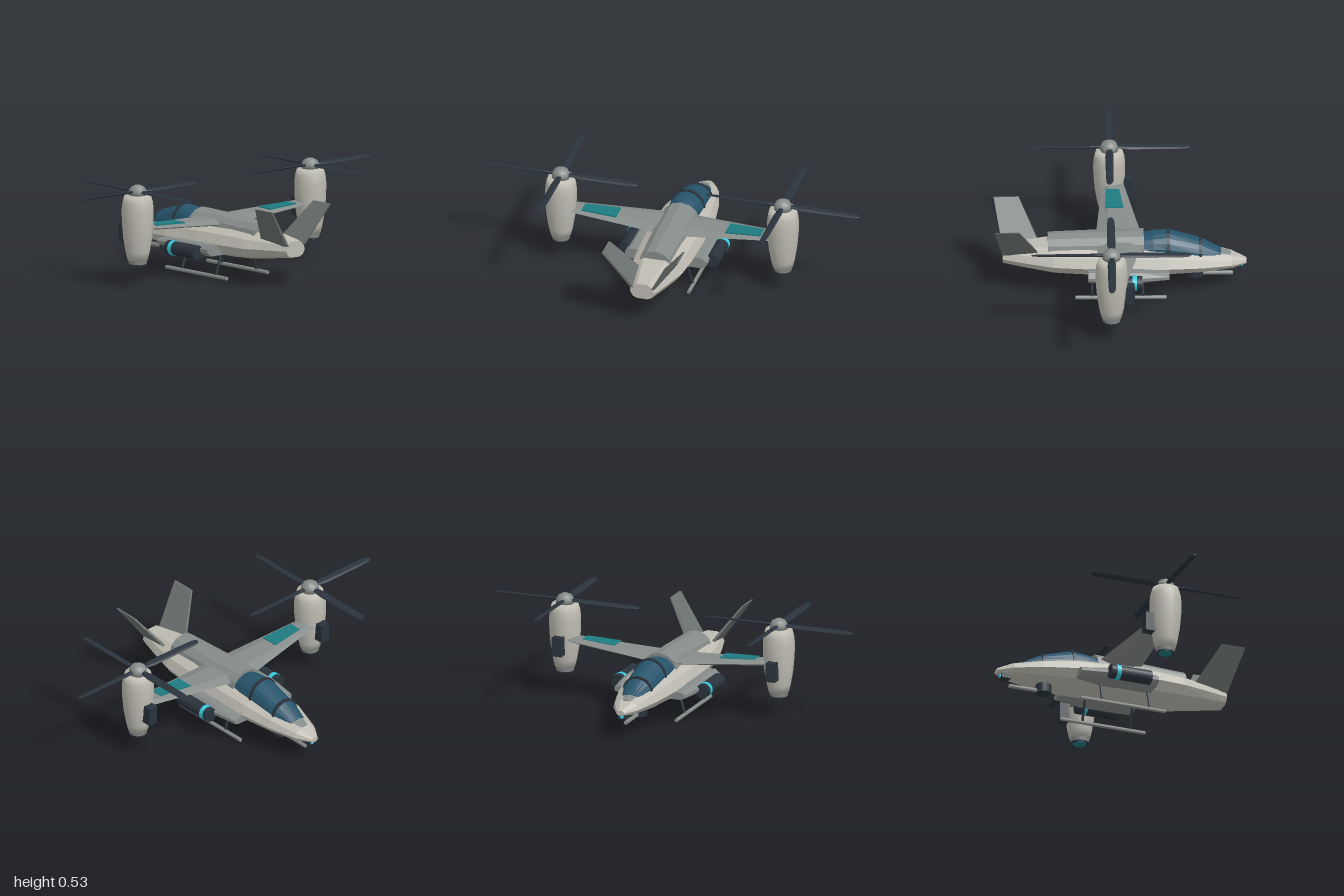
import * as THREE from 'three';

const mat = (name, color) => {
  const m = new THREE.MeshStandardMaterial({ color });
  m.name = name;
  return m;
};

// Faceted solid through a list of rings (arrays of [x, y, z]), closed at both ends
function loft(rings) {
  const pos = [];
  const tri = (a, b, c) => pos.push(...a, ...b, ...c);
  const n = rings[0].length;
  for (let k = 0; k < rings.length - 1; k++) {
    const a = rings[k], b = rings[k + 1];
    for (let i = 0; i < n; i++) {
      const j = (i + 1) % n;
      tri(a[i], a[j], b[j]);
      tri(a[i], b[j], b[i]);
    }
  }
  const first = rings[0], last = rings[rings.length - 1];
  for (let i = 1; i < n - 1; i++) {
    tri(first[0], first[i + 1], first[i]);
    tri(last[0], last[i], last[i + 1]);
  }
  const g = new THREE.BufferGeometry();
  g.setAttribute('position', new THREE.Float32BufferAttribute(pos, 3));
  g.computeVertexNormals();
  return g;
}

// Mirrored copy of a loft across x = 0, with the corner order restored
function mirrorX(geo) {
  const p = geo.attributes.position.array, out = [];
  for (let i = 0; i < p.length; i += 9) {
    for (const k of [0, 6, 3]) out.push(-p[i + k], p[i + k + 1], p[i + k + 2]);
  }
  const g = new THREE.BufferGeometry();
  g.setAttribute('position', new THREE.Float32BufferAttribute(out, 3));
  g.computeVertexNormals();
  return g;
}

// Half-round cross-sections: [z, half width, base y, top y]
const arch = (sections, steps) => loft(sections.map(([z, w, y0, y1]) =>
  Array.from({ length: steps + 1 }, (_, i) => {
    const a = (i / steps) * Math.PI;
    return [w * Math.cos(a), y0 + (y1 - y0) * Math.sin(a), z];
  })));

function rod(a, b, r, sides = 8) {
  const A = new THREE.Vector3(...a), B = new THREE.Vector3(...b);
  const d = B.clone().sub(A);
  const g = new THREE.CylinderGeometry(r, r, d.length(), sides);
  g.applyQuaternion(new THREE.Quaternion().setFromUnitVectors(new THREE.Vector3(0, 1, 0), d.normalize()));
  return g.translate((a[0] + b[0]) / 2, (a[1] + b[1]) / 2, (a[2] + b[2]) / 2);
}

export function createModel() {
  const root = new THREE.Group();
  root.name = 'tiltrotor';
  const hull = mat('hull pale grey', 0xbebcb2);
  const grey = mat('panel grey', 0x868c8a);
  const fin = mat('fin grey', 0x6c7270);
  const dark = mat('dark slate', 0x2a333c);
  const glass = mat('canopy blue', 0x26536a);
  const cyan = mat('glow cyan', 0x38cbe0);
  const teal = mat('panel teal', 0x1d7b80);
  const add = (name, geo, m, parent = root) => {
    const mesh = new THREE.Mesh(geo, m);
    mesh.name = name;
    parent.add(mesh);
    return mesh;
  };
  const pair = (name, geo, m) => {
    add(name + 'Left', geo, m);
    add(name + 'Right', mirrorX(geo), m);
  };

  // Fuselage: ten-sided sections [z, half width, bottom, top]
  const half = [[0.45, 1], [0.85, 0.5], [1, -0.15], [0.78, -0.75], [0.45, -1]];
  const profile = [...half].reverse().concat(half.map(([x, y]) => [-x, y]));
  const body = [
    [-0.645, 0.022, 0.135, 0.16], [-0.57, 0.07, 0.122, 0.19], [-0.42, 0.115, 0.113, 0.225],
    [-0.25, 0.145, 0.11, 0.252], [0, 0.155, 0.11, 0.268], [0.2, 0.15, 0.113, 0.268],
    [0.34, 0.138, 0.12, 0.262], [0.48, 0.1, 0.138, 0.25], [0.6, 0.064, 0.155, 0.238],
  ];
  add('fuselage', loft(body.map(([z, w, y0, y1]) => profile.map(([x, y]) =>
    [x * w, (y0 + y1) / 2 + (y * (y1 - y0)) / 2, z]))), hull);

  // Raised spine, canopy sill, canopy and its frames
  add('spine', arch([[-0.12, 0.095, 0.24, 0.322], [0.1, 0.095, 0.24, 0.315], [0.37, 0.085, 0.235, 0.305]], 6), grey);
  add('canopySill', arch([[-0.565, 0.045, 0.15, 0.197], [-0.48, 0.082, 0.165, 0.222],
    [-0.25, 0.104, 0.19, 0.272], [-0.08, 0.108, 0.2, 0.285]], 6), grey);
  const canopy = [[-0.515, 0.045, 0.195, 0.212], [-0.41, 0.078, 0.2, 0.272],
    [-0.245, 0.089, 0.22, 0.322], [-0.17, 0.09, 0.225, 0.315], [-0.07, 0.085, 0.23, 0.292]];
  add('canopy', arch(canopy, 10), glass);
  for (const [z, w, y0, y1] of [canopy[1], canopy[2]]) {
    add('canopyFrame', arch([[z - 0.008, w + 0.004, y0, y1 + 0.006], [z + 0.008, w + 0.004, y0, y1 + 0.006]], 10), dark);
  }

  // Wings with teal upper panels: [x, leading z, trailing z, y, thickness]
  const foil = [[0.25, 0.5], [0.75, 0.45], [1, 0], [0.75, -0.35], [0.25, -0.5], [0, 0]];
  const wing = [[0.05, -0.11, 0.125, 0.268, 0.042], [0.57, -0.02, 0.085, 0.298, 0.026]];
  pair('wing', loft(wing.map(([x, a, b, y, t]) => foil.map(([f, h]) => [x, y + h * t, a + f * (b - a)]))), grey);
  pair('wingPanel', loft([[0.29, -0.02, 0.075, 0.302], [0.475, 0, 0.068, 0.309]].map(([x, a, b, y]) =>
    [[x, y, a], [x, y, b], [x, y - 0.007, b], [x, y - 0.007, a]])), teal);

  // V-tail: upright slabs swept back
  const slab = (x, y, a, b, t) => [[x - t, y, a], [x - t, y, b], [x + t, y, b], [x + t, y, a]];
  pair('tailFin', loft([slab(0.055, 0.215, 0.41, 0.602, 0.009), slab(0.198, 0.415, 0.517, 0.645, 0.005)]), fin);

  // Side sponsons
  const spons = (z, x, y0, y1) => [[0.08, y0], [x - 0.025, y0], [x, (y0 + y1) / 2 - 0.008],
    [x, (y0 + y1) / 2 + 0.008], [x - 0.025, y1], [0.08, y1]].map(([a, b]) => [a, b, z]);
  pair('sponson', loft([spons(-0.25, 0.195, 0.127, 0.165), spons(-0.1, 0.217, 0.118, 0.178), spons(0.165, 0.217, 0.122, 0.18)]), grey);

  for (const s of [1, -1]) {
    const side = s > 0 ? 'Left' : 'Right';

    // Underwing pods with a glowing band
    add('pod' + side, rod([s * 0.232, 0.14, -0.112], [s * 0.232, 0.14, 0.11], 0.037, 14), dark);
    add('podBand' + side, rod([s * 0.232, 0.14, -0.083], [s * 0.232, 0.14, -0.06], 0.039, 14), cyan);

    // Landing skids
    add('skid' + side, rod([s * 0.14, 0.01, -0.235], [s * 0.14, 0.01, 0.23], 0.01), grey);
    for (const z of [-0.115, 0.145]) {
      add('skidStrut' + side, rod([s * 0.105, 0.125, z], [s * 0.139, 0.012, z], 0.007), dark);
    }

    // Engine nacelle
    const nacelle = new THREE.Group();
    nacelle.name = 'nacelle' + side;
    nacelle.position.set(s * 0.59, 0, 0.05);
    root.add(nacelle);
    const turned = (pts) => new THREE.LatheGeometry(pts.map(([r, y]) => new THREE.Vector2(r, y)), 16);
    add('nacelleShell', turned([[0, 0.138], [0.052, 0.138], [0.062, 0.18], [0.074, 0.25], [0.081, 0.33], [0.082, 0.4],
      [0.078, 0.44], [0.068, 0.474], [0, 0.476]]), hull, nacelle);
    add('exhaust', new THREE.CylinderGeometry(0.05, 0.045, 0.03, 16).translate(0, 0.128, 0), grey, nacelle);
    add('exhaustRim', new THREE.CylinderGeometry(0.046, 0.046, 0.006, 16).translate(0, 0.115, 0), dark, nacelle);
    add('exhaustGlow', new THREE.CylinderGeometry(0.036, 0.036, 0.004, 16).translate(0, 0.1115, 0), teal, nacelle);
    add('intakeBox', new THREE.BoxGeometry(0.052, 0.1, 0.06).translate(0, 0.268, -0.088), dark, nacelle);
    add('rotorHub', turned([[0, 0.472], [0.046, 0.472], [0.046, 0.495], [0.036, 0.515], [0.016, 0.526], [0, 0.527]]), grey, nacelle);

    // Four pitched blades: [radius, half chord, half thickness]
    const blade = loft([[0.02, 0.012, 0.007], [0.1, 0.022, 0.006], [0.33, 0.02, 0.004], [0.39, 0.017, 0.003], [0.408, 0.008, 0.002]]
      .map(([x, c, t]) => [[x, t, -c * 0.5], [x, t, c * 0.5], [x, 0, c], [x, -t, c * 0.5], [x, -t, -c * 0.5], [x, 0, -c]])).rotateX(0.22);
    for (let i = 0; i < 4; i++) {
      const b = add('rotorBlade', blade, dark, nacelle);
      b.position.y = 0.493;
      b.rotation.y = (i * Math.PI) / 2;
    }
  }

  // Chin turret, barrel and nose sensor
  add('turret', new THREE.CylinderGeometry(0.04, 0.04, 0.05, 14).translate(0, 0.09, -0.385), dark);
  add('gunBarrel', rod([0, 0.077, -0.4], [0, 0.077, -0.575], 0.011), grey);
  add('noseSensor', new THREE.BoxGeometry(0.045, 0.028, 0.05).translate(0, 0.124, -0.598), dark);
  add('sensorLens', rod([0, 0.124, -0.62], [0, 0.124, -0.627], 0.011, 12), cyan);
  return root;
}
